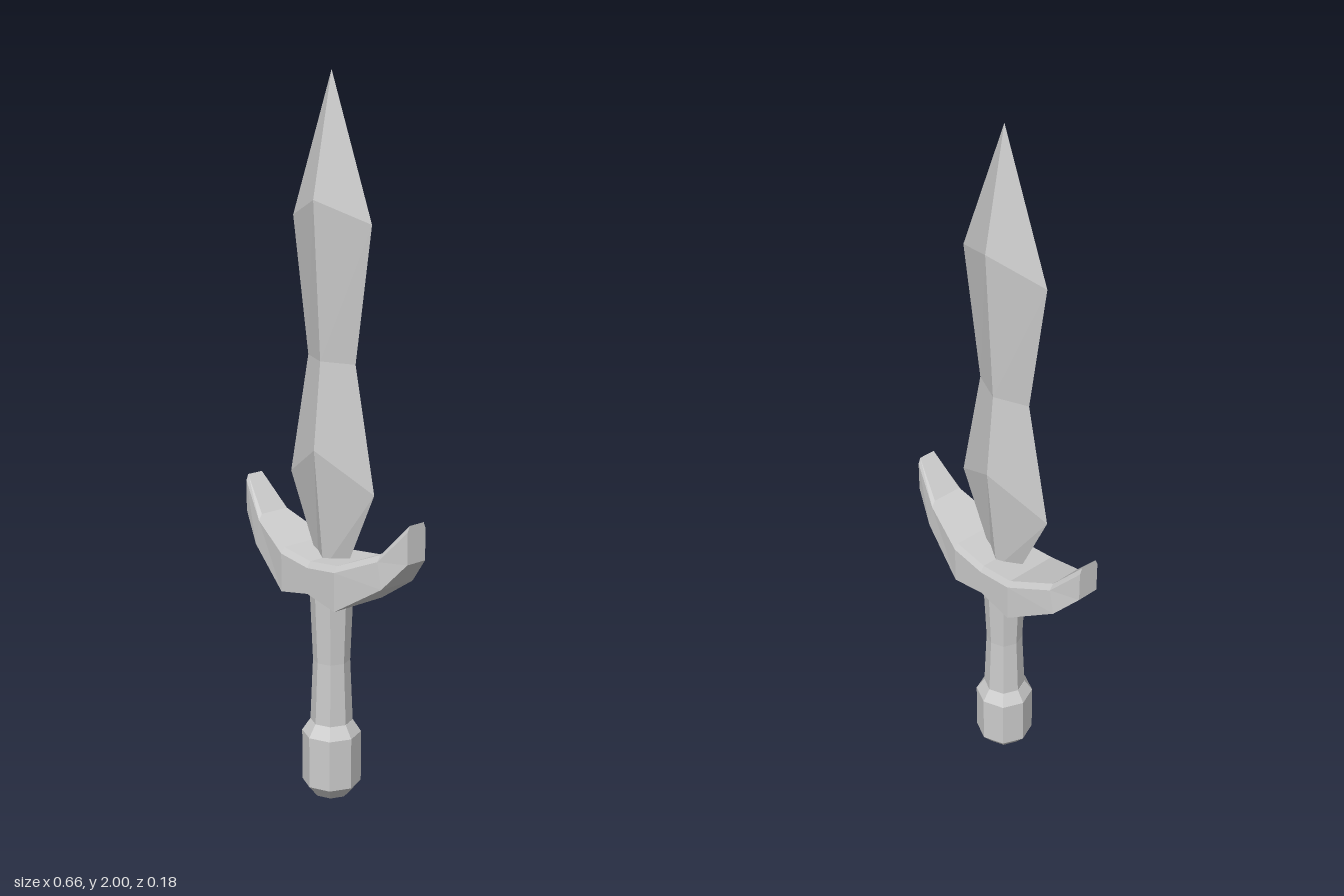
import * as THREE from 'three';

const material = new THREE.MeshStandardMaterial({ color: 0xcccccc, flatShading: true });

// Skins a list of equal-length rings and caps both ends.
function loft(rings) {
  const pos = [];
  const tri = (a, b, c) => pos.push(...a, ...b, ...c);
  const n = rings[0].length;
  for (let i = 0; i < rings.length - 1; i++) {
    for (let j = 0; j < n; j++) {
      const k = (j + 1) % n;
      const [a, b, c, d] = [rings[i][j], rings[i][k], rings[i + 1][j], rings[i + 1][k]];
      tri(a, c, b);
      tri(b, c, d);
    }
  }
  const last = rings[rings.length - 1];
  for (let j = 1; j < n - 1; j++) {
    tri(rings[0][0], rings[0][j], rings[0][j + 1]);
    tri(last[0], last[j + 1], last[j]);
  }
  const geometry = new THREE.BufferGeometry();
  geometry.setAttribute('position', new THREE.Float32BufferAttribute(pos, 3));
  geometry.computeVertexNormals();
  return geometry;
}

function part(name, geometry) {
  const mesh = new THREE.Mesh(geometry, material);
  mesh.name = name;
  return mesh;
}

export function createModel() {
  const model = new THREE.Group();
  model.name = 'dagger';

  // Blade: diamond sections as [half width, edge height, half thickness, ridge height]
  const blade = [
    [0.055, 0.67, 0.03, 0.67],
    [0.17, 0.91, 0.063, 1.01],
    [0.095, 1.25, 0.04, 1.25],
    [0.155, 1.62, 0.063, 1.675],
    [0.0005, 2, 0.0005, 2],
  ].map(([x, ye, z, yr]) => [[x, ye, 0], [0, yr, z], [-x, ye, 0], [0, yr, -z]]);
  model.add(part('blade', loft(blade)));

  // Crossguard: [x top, y top, half depth top, x bottom, y bottom, half depth bottom]
  const half = [
    [0, 0.703, 0.077, 0, 0.612, 0.088],
    [0.11, 0.717, 0.077, 0.11, 0.59, 0.088],
    [0.245, 0.775, 0.046, 0.26, 0.685, 0.057],
    [0.331, 0.87, 0.025, 0.331, 0.765, 0.032],
  ];
  const mirrored = half.slice(1).reverse().map(([xt, yt, zt, xb, yb, zb]) => [-xt, yt, zt, -xb, yb, zb]);
  const guard = [...mirrored, ...half].map(([xt, yt, zt, xb, yb, zb]) => [
    [xb, yb, zb], [xt, yt - 0.017, zb], [xt, yt, zt],
    [xt, yt, -zt], [xt, yt - 0.017, -zb], [xb, yb, -zb],
  ]);
  model.add(part('crossguard', loft(guard)));

  // Octagonal grip and pommel
  const turned = (points) => new THREE.LatheGeometry(points.map(([r, y]) => new THREE.Vector2(r, y)), 8);
  model.add(part('grip', turned([[0.06, 0.21], [0.052, 0.4], [0.06, 0.59], [0.06, 0.64]])));
  model.add(part('pommel', turned([[0, 0], [0.053, 0], [0.083, 0.036], [0.083, 0.185], [0.06, 0.22], [0, 0.22]])));

  return model;
}
